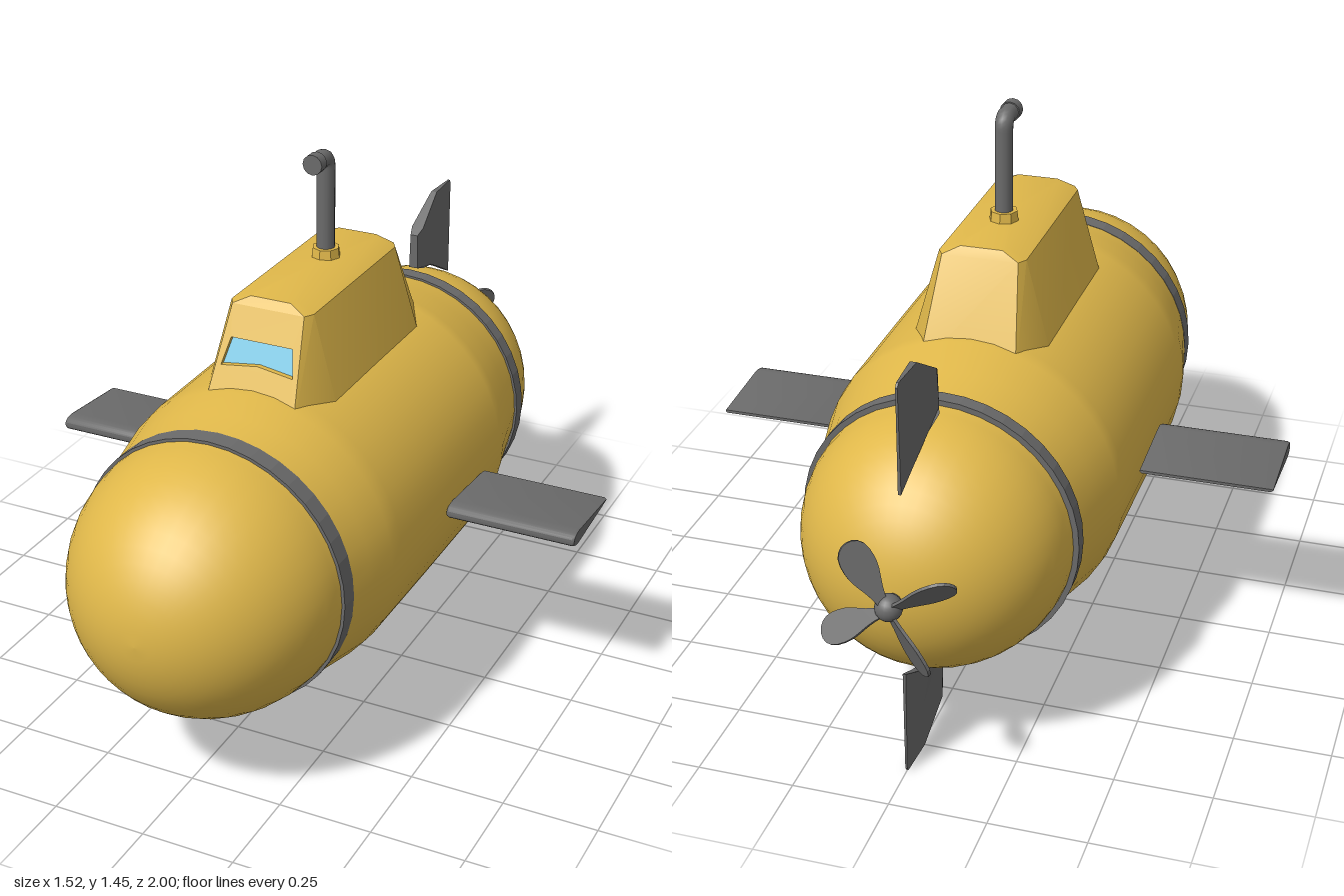
import * as THREE from 'three';
import { toCreasedNormals } from 'three/addons/utils/BufferGeometryUtils.js';

const AXIS = 0.545; // height of the hull centre line
const mat = (color, extra = {}) => new THREE.MeshStandardMaterial({ color, ...extra });
const yellow = mat(0xe0b84a);
const dark = mat(0x6b6b6b);
const darkFlat = mat(0x6b6b6b, { flatShading: true });
const blue = mat(0x72c4e0, { side: THREE.DoubleSide });
const v2 = (pts) => pts.map(([a, b]) => new THREE.Vector2(a, b));

function createMesh(parent, name, geometry, material) {
  const m = new THREE.Mesh(geometry, material);
  m.name = name;
  parent.add(m);
  return m;
}

// Revolve (radius, z) points around the hull axis
function revolve(pts, segments) {
  return new THREE.LatheGeometry(v2(pts), segments).rotateX(Math.PI / 2).translate(0, AXIS, 0);
}

// Move every vertex by a rule
function warp(geometry, rule) {
  const p = geometry.attributes.position;
  const v = new THREE.Vector3();
  for (let i = 0; i < p.count; i++) {
    rule(v.fromBufferAttribute(p, i));
    p.setXYZ(i, v.x, v.y, v.z);
  }
  geometry.computeVertexNormals();
  return geometry;
}

function hullProfile() {
  const pts = [];
  const n = 14;
  for (let i = 0; i <= n; i++) { // tail dome
    const a = (i / n) * Math.PI / 2;
    pts.push([0.345 * Math.sin(a), -0.58 - 0.35 * Math.cos(a)]);
  }
  pts.push([0.372, -0.45], [0.398, -0.34], [0.402, -0.3], [0.403, 0.03], [0.402, 0.36], [0.398, 0.41], [0.38, 0.5]);
  for (let i = n; i >= 0; i--) { // nose dome
    const a = (i / n) * Math.PI / 2;
    pts.push([0.36 * Math.sin(a), 0.6 + 0.4 * Math.cos(a)]);
  }
  return pts;
}

// Sail: eight-sided sections lofted upward, front opening left for the window panel
const LOW = 0.86, HIGH = 1.13;
const slopeZ = (y) => 0.428 + (y - LOW) / (HIGH - LOW) * (0.30 - 0.428);

function sailGeometry() {
  const section = (y, f, w, zf, zf2, zb2, zb) => [
    [-f, zf], [f, zf], [w, zf2], [w, zb2], [f, zb], [-f, zb], [-w, zb2], [-w, zf2],
  ].map(([x, z]) => [x, y, z]);
  const rings = [
    section(LOW, 0.128, 0.19, 0.428, 0.28, -0.23, -0.36),
    section(HIGH, 0.10, 0.115, 0.30, 0.275, -0.215, -0.24),
    section(1.152, 0.055, 0.065, 0.285, 0.265, -0.205, -0.225),
  ];
  const pos = [];
  for (let l = 0; l < 2; l++) {
    for (let i = 0; i < 8; i++) {
      if (l === 0 && i === 0) continue;
      const j = (i + 1) % 8;
      const [a, b, c, d] = [rings[l][i], rings[l][j], rings[l + 1][j], rings[l + 1][i]];
      pos.push(...a, ...b, ...c, ...a, ...c, ...d);
    }
  }
  for (let i = 0; i < 8; i++) pos.push(...rings[2][i], ...rings[2][(i + 1) % 8], 0, 1.155, 0.03);
  const g = new THREE.BufferGeometry();
  g.setAttribute('position', new THREE.Float32BufferAttribute(pos, 3));
  return toCreasedNormals(g, 0.5);
}

function addSail(parent) {
  const sail = new THREE.Group();
  sail.name = 'sail';
  parent.add(sail);
  createMesh(sail, 'sailBody', sailGeometry(), yellow);

  // Sloped front panel with a recessed window
  const opening = [[-0.1, 0.988], [0, 1.0], [0.1, 0.988], [0.086, 1.054], [-0.086, 1.054]];
  const panel = new THREE.Shape(v2([[-0.128, LOW], [0.128, LOW], [0.1, HIGH], [-0.1, HIGH]]));
  panel.holes.push(new THREE.Path(v2(opening)));
  const onSlope = (v) => { v.z += slopeZ(v.y); };
  const frame = new THREE.ExtrudeGeometry(panel, { depth: 0.02, bevelEnabled: false }).translate(0, 0, -0.02);
  createMesh(sail, 'windowFrame', warp(frame, onSlope), yellow);
  const glass = new THREE.ShapeGeometry(new THREE.Shape(v2(opening))).translate(0, 0, -0.014);
  createMesh(sail, 'window', warp(glass, onSlope), blue);
}

function addPeriscope(parent) {
  const scope = new THREE.Group();
  scope.name = 'periscope';
  scope.position.z = -0.03;
  parent.add(scope);
  createMesh(scope, 'collar', new THREE.CylinderGeometry(0.036, 0.04, 0.035, 8).translate(0, 1.162, 0),
    mat(0xe0b84a, { flatShading: true }));
  const p = (y, z) => new THREE.Vector3(0, y, z);
  const path = new THREE.CurvePath();
  path.add(new THREE.LineCurve3(p(1.14, 0), p(1.40, 0)));
  path.add(new THREE.QuadraticBezierCurve3(p(1.40, 0), p(1.427, 0), p(1.427, 0.027)));
  path.add(new THREE.LineCurve3(p(1.427, 0.027), p(1.427, 0.065)));
  createMesh(scope, 'mast', new THREE.TubeGeometry(path, 48, 0.024, 12, false), dark);
  const head = new THREE.CylinderGeometry(0.027, 0.027, 0.03, 12).rotateX(Math.PI / 2);
  createMesh(scope, 'eyepiece', toCreasedNormals(head.translate(0, 1.427, 0.065), 0.7), dark);
}

// Side plane: aerofoil in (z, y) extruded along x
function sidePlaneGeometry() {
  const s = new THREE.Shape();
  s.moveTo(0.165, 0.004);
  s.lineTo(-0.05, 0.021);
  s.quadraticCurveTo(-0.092, 0.021, -0.092, 0);
  s.quadraticCurveTo(-0.092, -0.021, -0.05, -0.021);
  s.lineTo(0.165, -0.004);
  s.closePath();
  const g = new THREE.ExtrudeGeometry(s, {
    depth: 0.34, curveSegments: 6, bevelThickness: 0.006, bevelSize: 0.003, bevelOffset: -0.003, bevelSegments: 1,
  });
  return toCreasedNormals(g.rotateY(Math.PI / 2).translate(0.414, 0, 0), 0.6);
}

// Tail fin: outline in (-z, y), thick at the leading edge and thin behind
function tailFinGeometry() {
  const outline = [[0.61, 0.355], [0.635, 0.349], [0.70, 0.335], [0.78, 0.295], [0.865, 0.25],
    [0.868, 0.53], [0.86, 0.54], [0.75, 0.54], [0.635, 0.471], [0.61, 0.455]];
  const g = new THREE.ExtrudeGeometry(new THREE.Shape(v2(outline)), { depth: 0.044, bevelEnabled: false });
  g.translate(0, 0, -0.022).rotateY(Math.PI / 2);
  warp(g, (v) => {
    const d = -v.z;
    v.x *= d < 0.625 ? 0.6 : 1 - 0.82 * (d - 0.635) / 0.23;
    v.x *= 1 - 0.35 * Math.max(0, v.y - 0.36) / 0.18;
  });
  return toCreasedNormals(g, 0.4);
}

function addPropeller(parent) {
  const prop = new THREE.Group();
  prop.name = 'propeller';
  prop.position.set(0, AXIS, -0.958);
  parent.add(prop);
  createMesh(prop, 'hub', new THREE.SphereGeometry(0.034, 20, 14), dark);
  createMesh(prop, 'shaft', new THREE.CylinderGeometry(0.022, 0.022, 0.06, 16).rotateX(Math.PI / 2).translate(0, 0, 0.03), dark);
  const s = new THREE.Shape();
  s.moveTo(-0.012, 0.015);
  s.bezierCurveTo(-0.02, 0.08, -0.045, 0.09, -0.04, 0.15);
  s.bezierCurveTo(-0.036, 0.205, 0.036, 0.205, 0.04, 0.15);
  s.bezierCurveTo(0.045, 0.09, 0.02, 0.08, 0.012, 0.015);
  const blade = new THREE.ExtrudeGeometry(s, { depth: 0.008, curveSegments: 8, bevelEnabled: false });
  blade.translate(0, 0, -0.004).rotateY(0.7).translate(0, 0, -0.012);
  for (let i = 0; i < 4; i++) {
    createMesh(prop, 'propellerBlade', blade, dark).rotation.z = -Math.PI / 6 + i * Math.PI / 2;
  }
}

export function createModel() {
  const model = new THREE.Group();
  model.name = 'submarine';

  createMesh(model, 'hull', revolve(hullProfile(), 40), yellow);

  // Bands around the hull
  const band = (name, z0, z1, r) => createMesh(model, name,
    revolve([[r - 0.04, z0], [r, z0], [r, z1], [r - 0.04, z1]], 40), darkFlat);
  band('frontBand', 0.57, 0.622, 0.367);
  band('rearBand', -0.585, -0.543, 0.359);

  addSail(model);
  addPeriscope(model);

  // Side planes, one turned over for the other side
  const plane = sidePlaneGeometry();
  createMesh(model, 'leftPlane', plane, dark).position.y = AXIS;
  const mirrored = plane.clone().rotateY(Math.PI);
  warp(mirrored, (v) => { v.z = -v.z; });
  const p = mirrored.attributes.position;
  for (let i = 0; i < p.count; i += 3) { // restore the winding after mirroring
    const [x, y, z] = [p.getX(i), p.getY(i), p.getZ(i)];
    p.setXYZ(i, p.getX(i + 1), p.getY(i + 1), p.getZ(i + 1));
    p.setXYZ(i + 1, x, y, z);
  }
  createMesh(model, 'rightPlane', toCreasedNormals(mirrored, 0.6), dark).position.y = AXIS;

  // Upper and lower tail fins
  const fin = tailFinGeometry();
  createMesh(model, 'upperTailFin', fin, dark).position.y = AXIS;
  const lower = createMesh(model, 'lowerTailFin', fin, dark);
  lower.position.y = AXIS;
  lower.rotation.z = Math.PI;

  addPropeller(model);
  return model;
}
